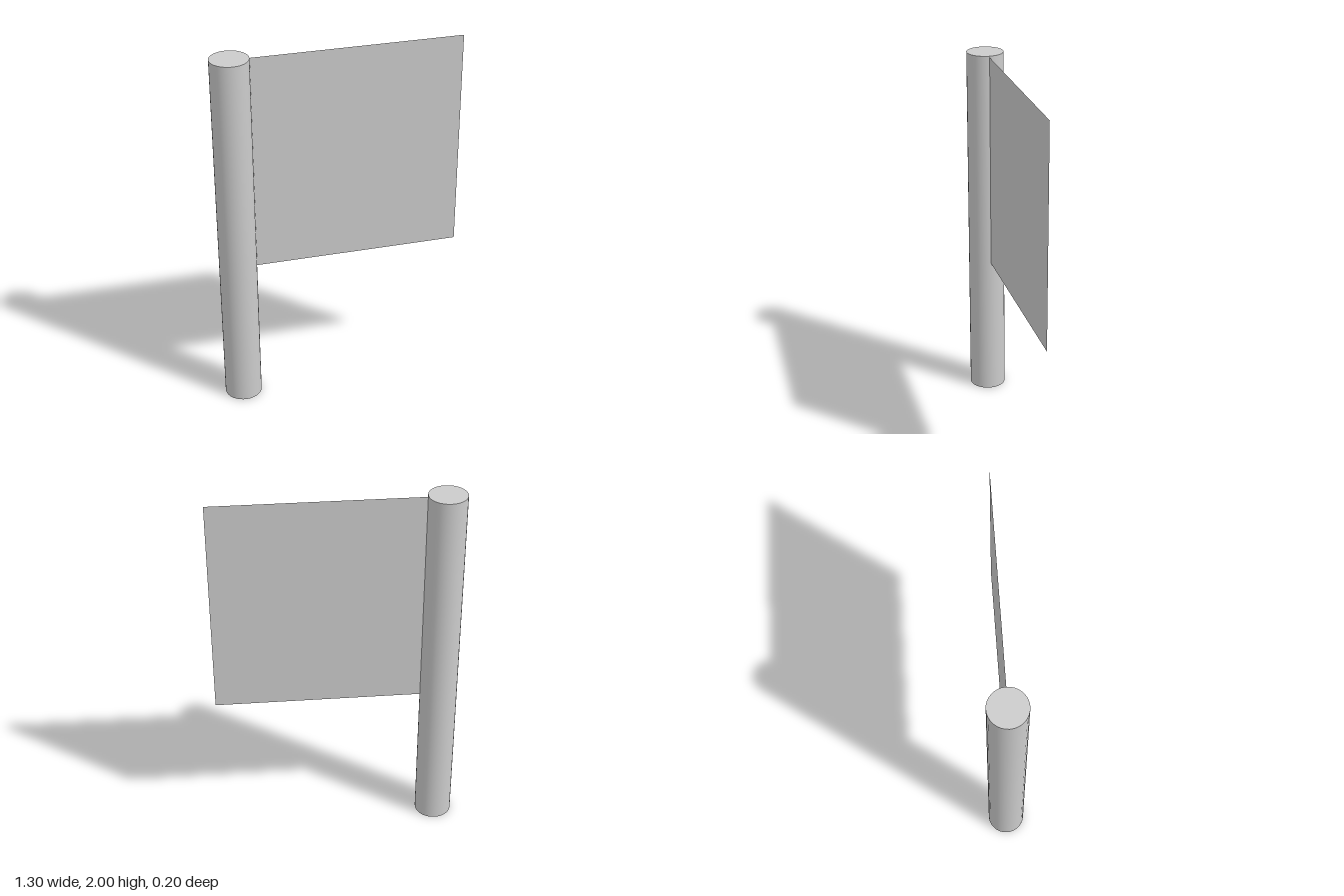
import * as THREE from 'three';

export function createModel() {
  const group = new THREE.Group();
  group.name = 'flag';

  // Round upright pole
  const pole = new THREE.Mesh(
    new THREE.CylinderGeometry(0.1, 0.1, 2, 32),
    new THREE.MeshStandardMaterial({ color: 0xcccccc })
  );
  pole.name = 'pole';
  pole.position.set(-0.55, 1, 0);

  // Thin flat banner running from the pole's axis, just below its top
  const bottom = 0.8, top = 1.993;
  const banner = new THREE.Mesh(
    new THREE.PlaneGeometry(1.2, top - bottom),
    new THREE.MeshStandardMaterial({ color: 0xcccccc, side: THREE.DoubleSide })
  );
  banner.name = 'banner';
  banner.position.set(0.05, (top + bottom) / 2, 0);

  group.add(pole, banner);
  return group;
}
